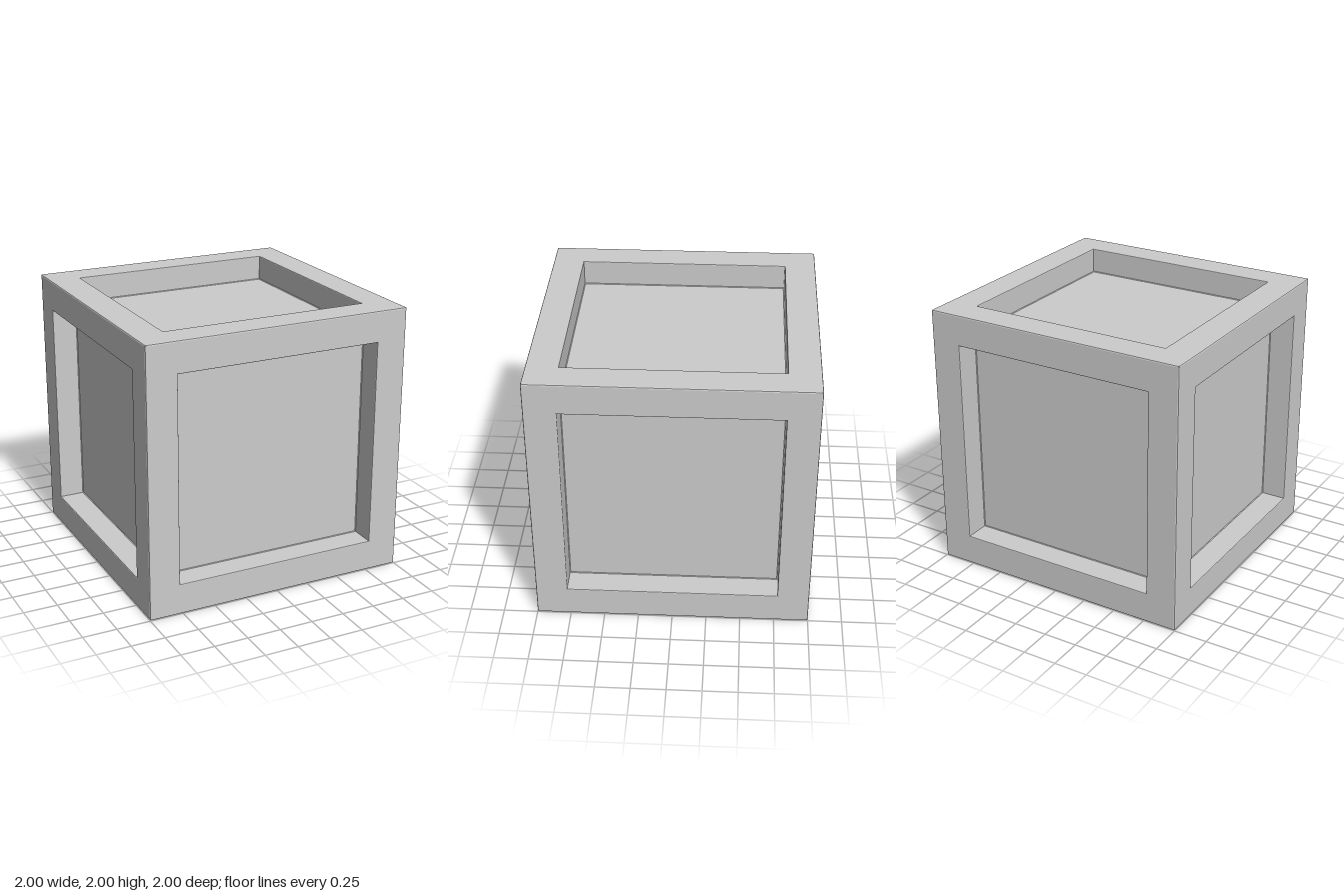
import * as THREE from 'three';

// Half-width and height of each square ring, from the cube's edge to the panel's centre
const PROFILE = [
  [0.997, 0.997], [0.99, 1],                   // softened outer edge
  [0.776, 1], [0.772, 0.998], [0.77, 0.994],   // softened rim
  [0.77, 0.815], [0.765, 0.81], [0, 0.81],     // recess wall and sunken panel
];

// Rotations that turn the upward side to each side of the cube
const SIDES = {
  topSide: [0, 0, 0],
  bottomSide: [Math.PI, 0, 0],
  frontSide: [Math.PI / 2, 0, 0],
  backSide: [-Math.PI / 2, 0, 0],
  leftSide: [0, 0, -Math.PI / 2],
  rightSide: [0, 0, Math.PI / 2],
};

export function createModel() {
  const model = new THREE.Group();
  model.name = 'framedCrate';
  const material = new THREE.MeshStandardMaterial({ color: 0xcccccc, flatShading: true });

  // A four-sided lathe makes one framed side; its edges meet the neighbours on the diagonals
  const points = PROFILE.map(([half, y]) => new THREE.Vector2(half * Math.SQRT2, y));
  const geometry = new THREE.LatheGeometry(points, 4, Math.PI / 4).toNonIndexed();
  geometry.computeVertexNormals();

  for (const [name, rotation] of Object.entries(SIDES)) {
    const side = new THREE.Mesh(geometry, material);
    side.name = name;
    side.rotation.set(...rotation);
    side.position.y = 1;
    model.add(side);
  }
  return model;
}
